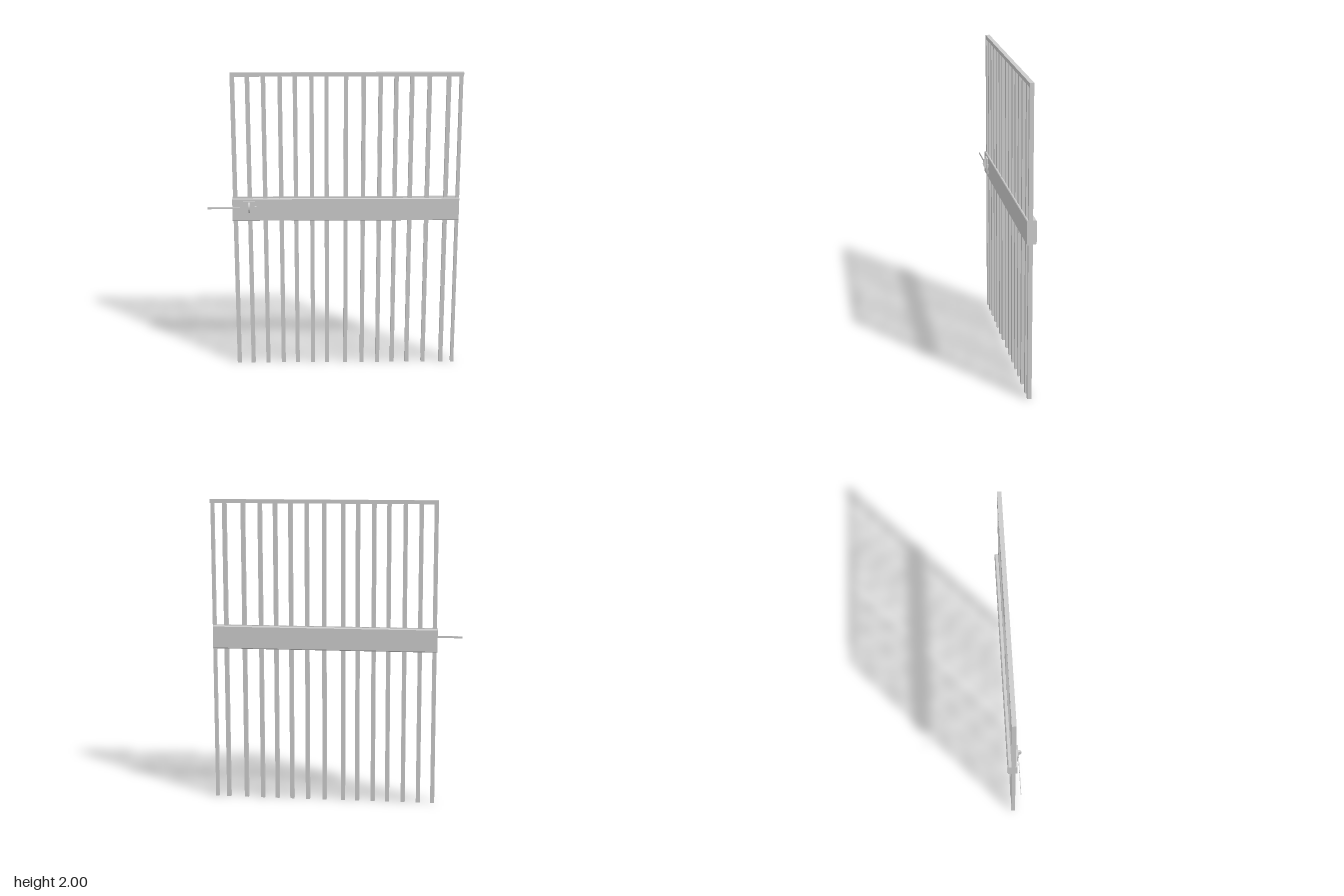
import * as THREE from 'three';

export function createModel() {
  const group = new THREE.Group();
  const mat = new THREE.MeshStandardMaterial({ color: 0xcccccc, flatShading: true });

  // box given by its limits on each axis
  function box(name, x0, x1, y0, y1, z0, z1) {
    const m = new THREE.Mesh(new THREE.BoxGeometry(x1 - x0, y1 - y0, z1 - z0), mat);
    m.position.set((x0 + x1) / 2, (y0 + y1) / 2, (z0 + z1) / 2);
    m.name = name;
    group.add(m);
    return m;
  }

  // vertical bars, slightly unevenly spaced
  const bars = [-0.647, -0.552, -0.451, -0.346, -0.25, -0.145, -0.05, 0.074,
    0.187, 0.293, 0.393, 0.493, 0.604, 0.726, 0.804];
  bars.forEach((x, i) => {
    const h = i === bars.length - 1 ? 0.011 : 0.0135;
    box('bar' + (i + 1), x - h, x + h, 0, 1.976, -0.021, 0.006);
  });
  box('topRail', -0.661, 0.819, 1.975, 2, -0.021, 0.006);

  // plates on both sides of the bars, long edges chamfered on the outer face
  function plate(name, x0, x1, zIn, zOut, c) {
    const d = Math.sign(zOut - zIn) * c, y0 = 1.022, y1 = 1.174;
    const pts = [[zIn, y0], [zOut - d, y0], [zOut, y0 + c], [zOut, y1 - c], [zOut - d, y1], [zIn, y1]];
    const shape = new THREE.Shape(pts.map(([z, y]) => new THREE.Vector2(-z, y)));
    const geo = new THREE.ExtrudeGeometry(shape, { depth: x1 - x0, bevelEnabled: false });
    geo.rotateY(Math.PI / 2);
    geo.translate(x0, 0, 0);
    const m = new THREE.Mesh(geo, mat);
    m.name = name;
    group.add(m);
  }
  plate('frontPlate', -0.666, 0.815, 0.004, 0.016, 0.004);
  plate('backPlate', -0.666, 0.81, -0.021, -0.045, 0.006);

  // lock case with a raised inner plate
  box('lockCase', -0.594, -0.518, 1.048, 1.159, 0.015, 0.023);
  box('lockInnerPlate', -0.575, -0.53, 1.066, 1.159, 0.022, 0.027);
  box('boltKeeper', -0.519, -0.507, 1.102, 1.124, 0.015, 0.03);

  // sliding bolt
  box('bolt', -0.825, -0.565, 1.108, 1.121, 0.026, 0.03);

  // thumb turn: thin upright disc, half sunk in the lock
  const turn = new THREE.Mesh(new THREE.CylinderGeometry(0.036, 0.036, 0.012, 20), mat);
  turn.rotation.z = Math.PI / 2;
  turn.scale.z = 0.65;
  turn.position.set(-0.555, 1.117, 0.024);
  turn.name = 'thumbTurn';
  group.add(turn);

  return group;
}
